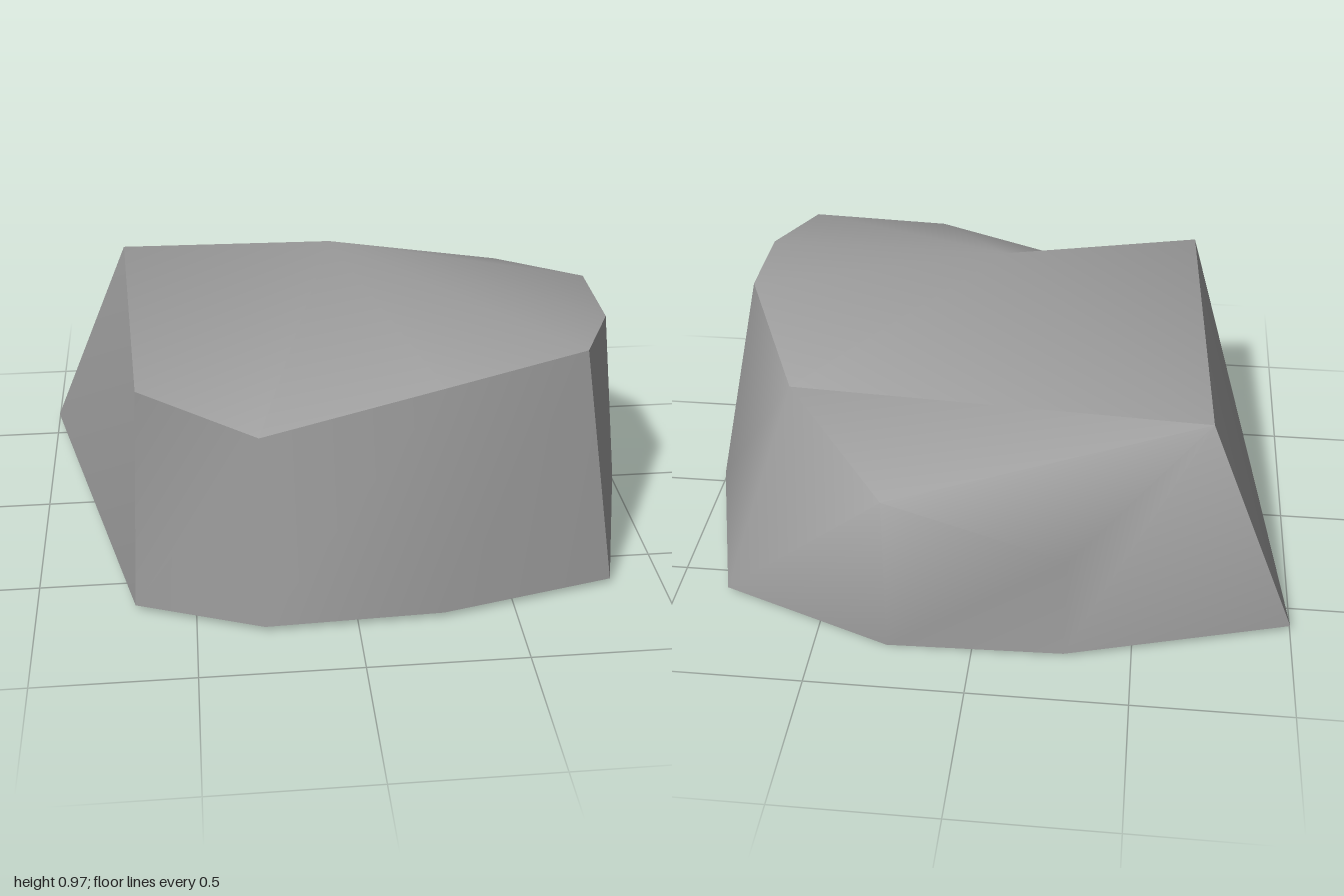
import * as THREE from 'three';

// Outline at the ground, running from the front left round past +x to the back
const base = [
  [-0.69, 0.02, 0.65], [-0.29, 0.02, 0.80], [0.27, 0.02, 0.78], [0.83, 0.02, 0.65], [1, 0.02, 0.02],
  [0.83, 0.02, -0.61], [0.27, 0, -0.81], [-0.29, 0.015, -0.81], [-1, 0.02, -0.61],
];
// Matching upper rim, then the extra side corner and the peak
const rim = [
  [-0.65, 0.76, 0.61], [-0.29, 0.61, 0.66], [0.27, 0.75, 0.66], [0.72, 0.81, 0.57], [0.83, 0.81, 0.03],
  [0.62, 0.69, -0.41], [0.27, 0.55, -0.80], [-0.29, 0.30, -0.71], [-0.71, 0.73, -0.55],
];
const sideCorner = [0.83, 0.81, 0.34];
const peak = [-0.02, 0.97, 0.03];
const points = [...base, ...rim, sideCorner, peak];
const N = base.length, SIDE = 2 * N, PEAK = 2 * N + 1;

// Wall panel between base points a and b
const panel = (a, b) => [[a, b, N + b], [a, N + b, N + a]];

// Each facet group is smooth inside and sharp at its border
function facet(name, triangles, material) {
  const used = [...new Set(triangles.flat())];
  const geometry = new THREE.BufferGeometry();
  geometry.setAttribute('position', new THREE.Float32BufferAttribute(used.flatMap((i) => points[i]), 3));
  geometry.setIndex(triangles.flat().map((i) => used.indexOf(i)));
  geometry.computeVertexNormals();
  const mesh = new THREE.Mesh(geometry, material);
  mesh.name = name;
  return mesh;
}

export function createModel() {
  const stone = new THREE.MeshStandardMaterial({ color: 0x999999 });
  stone.name = 'grey stone';
  const rock = new THREE.Group();
  rock.name = 'rock';

  // Crown: a fan from the peak to the rim, skipping the low back points
  const loop = [0, 1, 2, 3].map((i) => N + i).concat(SIDE, N + 4, N + 5, N + 8);
  const crown = loop.map((p, i) => [PEAK, p, loop[(i + 1) % loop.length]]);

  // Right wall flows round into the back wall and up the back slope
  const back = [
    [3, SIDE, N + 3], [3, 4, SIDE], [4, N + 4, SIDE],
    ...panel(4, 5), ...panel(5, 6), ...panel(6, 7), ...panel(7, 8),
    [N + 8, N + 5, N + 6], [N + 8, N + 6, N + 7],
  ];

  const underside = [];
  for (let i = 1; i < N - 1; i++) underside.push([0, i + 1, i]);

  rock.add(
    facet('crown', crown, stone),
    facet('frontWall', [0, 1, 2].flatMap((i) => panel(i, i + 1)), stone),
    facet('sideAndBackWall', back, stone),
    facet('endWall', [[8, 0, N], [8, N, N + 8]], stone),
    facet('underside', underside, stone),
  );
  return rock;
}
